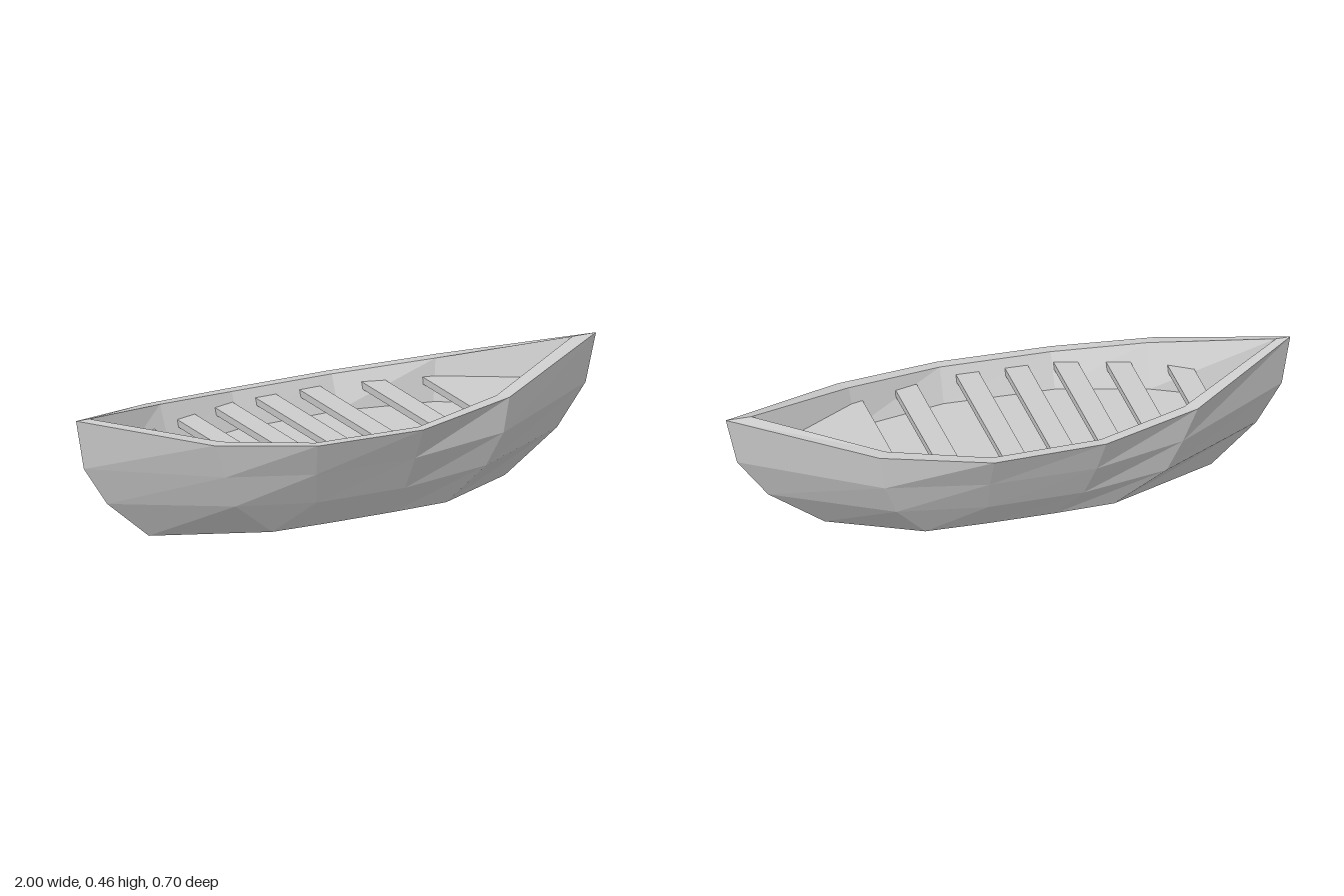
import * as THREE from 'three';

const material = new THREE.MeshStandardMaterial({ color: 0xcccccc, flatShading: true });

// Half outline of [x, y, z] stations from stern to bow, mirrored into a closed ring
function ring(half) {
  const back = half.slice(1, -1).reverse().map(([x, y, z]) => [x, y, -z]);
  return [...half, ...back];
}

// Solid lofted through rings, capped at the first (facing down) and last (facing up)
function loft(name, rings) {
  const pos = [];
  const tri = (a, b, c) => pos.push(...a, ...b, ...c);
  const n = rings[0].length;
  for (let r = 0; r + 1 < rings.length; r++) {
    const a = rings[r], b = rings[r + 1];
    for (let i = 0; i < n; i++) {
      const j = (i + 1) % n;
      tri(a[i], a[j], b[j]);
      tri(a[i], b[j], b[i]);
    }
  }
  const first = rings[0], last = rings[rings.length - 1];
  for (let i = 1; i + 1 < n; i++) {
    tri(first[0], first[i + 1], first[i]);
    tri(last[0], last[i], last[i + 1]);
  }
  const geometry = new THREE.BufferGeometry();
  geometry.setAttribute('position', new THREE.Float32BufferAttribute(pos, 3));
  geometry.computeVertexNormals();
  const mesh = new THREE.Mesh(geometry, material);
  mesh.name = name;
  return mesh;
}

// Hull outlines: keel plate, two bilge lines, rim outside, rim inside, floor
const keel = [[-0.72, 0, 0], [-0.33, 0, 0.16], [-0.12, 0, 0.167], [0.13, 0, 0.167], [0.34, 0, 0.16], [0.65, 0, 0]];
const lowerBilge = [[-0.88, 0.14, 0], [-0.5, 0.135, 0.215], [-0.2, 0.107, 0.235], [0.14, 0.107, 0.238], [0.46, 0.132, 0.222], [0.85, 0.14, 0]];
const upperBilge = [[-0.97, 0.28, 0], [-0.55, 0.255, 0.24], [-0.23, 0.23, 0.293], [0.15, 0.23, 0.295], [0.51, 0.252, 0.255], [0.96, 0.285, 0]];
const rimOuter = [[-1, 0.457, 0], [-0.6, 0.38, 0.25], [-0.25, 0.35, 0.34], [0.15, 0.348, 0.352], [0.53, 0.377, 0.26], [1, 0.457, 0]];
const rimInner = [[-0.95, 0.457, 0], [-0.56, 0.38, 0.222], [-0.24, 0.35, 0.305], [0.15, 0.348, 0.315], [0.5, 0.377, 0.222], [0.91, 0.457, 0]];
const floorLine = [[-0.87, 0.23, 0], [-0.55, 0.23, 0.165], [-0.24, 0.23, 0.255], [0.15, 0.23, 0.268], [0.48, 0.23, 0.2], [0.82, 0.23, 0]];

// Inner wall outline at seat height
const seatTop = 0.317, seatThickness = 0.025;
const seatLine = rimInner.map((p, i) => {
  const f = floorLine[i];
  const t = (p[1] - seatTop) / (p[1] - f[1]);
  return [p[0] + (f[0] - p[0]) * t, seatTop, p[2] + (f[2] - p[2]) * t];
});

function seatHalfWidth(x) {
  for (let i = 0; i + 1 < seatLine.length; i++) {
    const a = seatLine[i], b = seatLine[i + 1];
    if (x <= b[0]) return a[2] + (b[2] - a[2]) * (x - a[0]) / (b[0] - a[0]);
  }
  return 0;
}

// Flat board with the given [x, z] outline
function board(name, outline) {
  const at = (y) => outline.map(([x, z]) => [x, y, z]);
  return loft(name, [at(seatTop - seatThickness), at(seatTop)]);
}

export function createModel() {
  const boat = new THREE.Group();
  boat.name = 'rowingBoat';

  boat.add(loft('hull', [keel, lowerBilge, upperBilge, rimOuter, rimInner, floorLine].map(ring)));

  // Cross planks, their ends cut along the inner wall
  const planks = new THREE.Group();
  planks.name = 'planks';
  for (const x of [-0.652, -0.457, -0.285, -0.115, 0.057, 0.283]) {
    const x0 = x - 0.04, x1 = x + 0.04;
    const w0 = seatHalfWidth(x0), w1 = seatHalfWidth(x1);
    planks.add(board('plank', [[x0, w0], [x1, w1], [x1, -w1], [x0, -w0]]));
  }
  boat.add(planks);

  // Triangular deck filling the bow
  const start = 0.45, w = seatHalfWidth(start);
  const [, , , , shoulder, tip] = seatLine;
  boat.add(board('bowDeck', [
    [start, w], [shoulder[0], shoulder[2]], [tip[0], 0],
    [shoulder[0], -shoulder[2]], [start, -w],
  ]));

  return boat;
}
